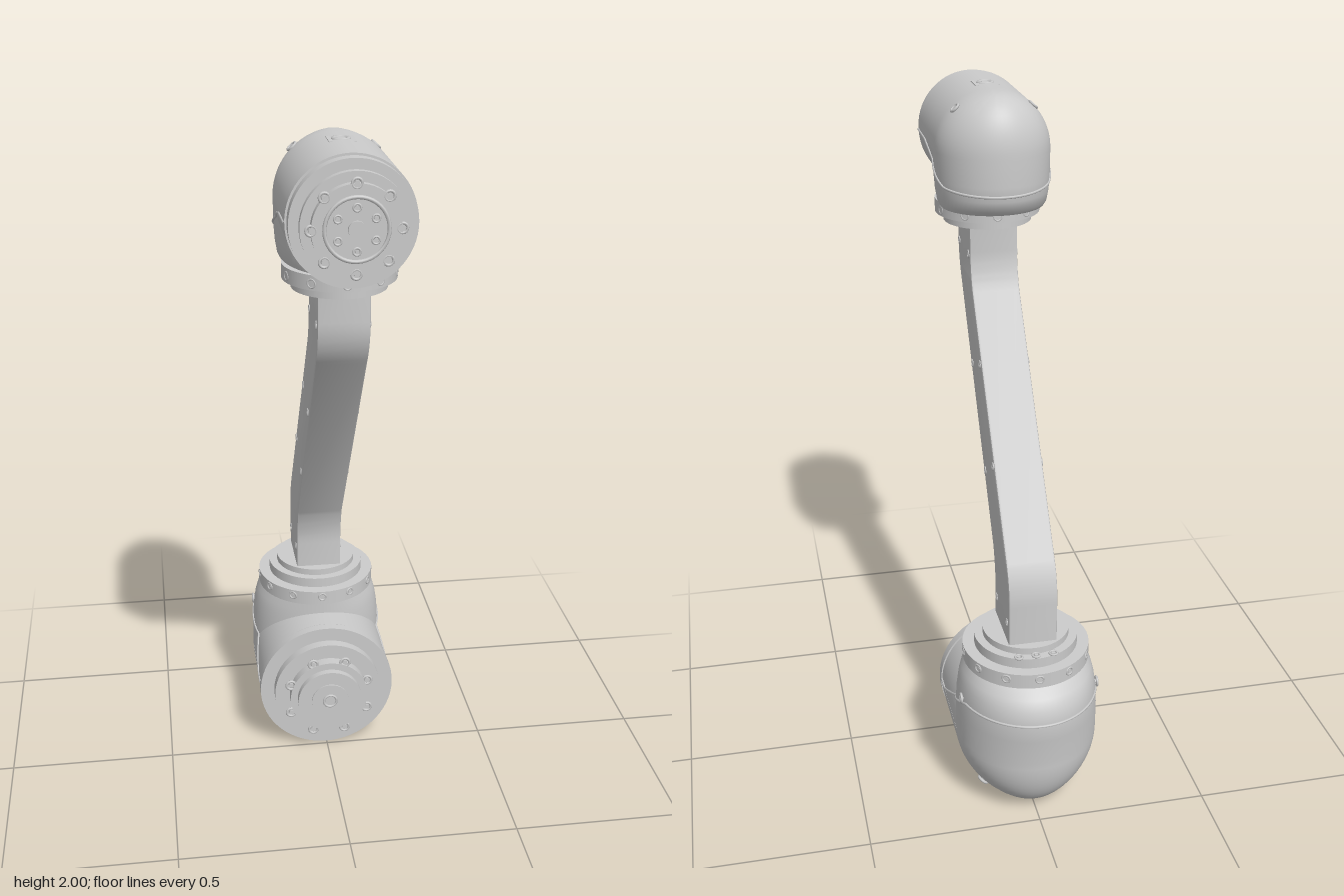
import * as THREE from 'three';
import { toCreasedNormals } from 'three/addons/utils/BufferGeometryUtils.js';

const mat = new THREE.MeshStandardMaterial({ color: 0xcccccc });

function add(parent, name, geo, x = 0, y = 0, z = 0) {
  const m = new THREE.Mesh(geo, mat);
  m.name = name;
  m.position.set(x, y, z);
  parent.add(m);
  return m;
}

// Cylinder along an axis, spanning a..b on it; u and v are the other two coordinates
function disc(parent, name, axis, r, a, b, u, v, seg = 48) {
  const geo = new THREE.CylinderGeometry(r, r, b - a, seg), c = (a + b) / 2;
  if (axis === 'z') return add(parent, name, geo.rotateX(Math.PI / 2), u, v, c);
  if (axis === 'x') return add(parent, name, geo.rotateZ(Math.PI / 2), c, u, v);
  return add(parent, name, geo, u, c, v);
}

// Screw head: a raised rim around a sunken socket, facing +z before placing
function screw(parent, r, x, y, z, dir) {
  const g = new THREE.Group();
  g.name = 'screw';
  add(g, 'screwRim', new THREE.TorusGeometry(r, r * 0.3, 6, 16));
  disc(g, 'screwSocket', 'z', r * 0.55, -r * 0.5, r * 0.15, 0, 0, 6);
  g.position.set(x, y, z);
  g.quaternion.setFromUnitVectors(new THREE.Vector3(0, 0, 1), dir.clone().normalize());
  parent.add(g);
}

const dirX = s => new THREE.Vector3(s, 0, 0), Z = new THREE.Vector3(0, 0, 1), Y = new THREE.Vector3(0, 1, 0);

// Piecewise linear lookup in rows [key, ...values] with rows in either order
function lookup(rows, k, col = 1) {
  for (let i = 0; i < rows.length - 1; i++) {
    const [a, b] = [rows[i], rows[i + 1]], t = (k - a[0]) / (b[0] - a[0]);
    if (t >= 0 && t <= 1) return a[col] + (b[col] - a[col]) * t;
  }
  const near = Math.abs(k - rows[0][0]) < Math.abs(k - rows.at(-1)[0]) ? rows[0] : rows.at(-1);
  return near[col];
}

// Closed surface through horizontal rings, listed from bottom to top
function loft(rings) {
  const N = 64, pos = [], idx = [];
  for (const { y, w, zc, back, front, flat } of rings) {
    for (let j = 0; j < N; j++) {
      const a = (j / N) * 2 * Math.PI;
      let c = Math.cos(a), s = Math.sin(a);
      if (flat && j > N / 2) {
        const m = Math.max(Math.abs(c), Math.abs(s));
        c /= m; s /= m;
      }
      pos.push(w * c, y, zc - s * (s > 0 ? back : front));
    }
  }
  for (let i = 0; i < rings.length - 1; i++)
    for (let j = 0; j < N; j++) {
      const k = (j + 1) % N, a = i * N, b = a + N;
      idx.push(a + j, a + k, b + k, a + j, b + k, b + j);
    }
  const top = (rings.length - 1) * N;
  for (let j = 1; j < N - 1; j++) idx.push(0, j + 1, j, top, top + j, top + j + 1);
  const g = new THREE.BufferGeometry();
  g.setAttribute('position', new THREE.Float32BufferAttribute(pos, 3));
  g.setIndex(idx);
  return toCreasedNormals(g, 0.6);
}

// Elbow housing: horizontal barrel, domed back and a vertical neck (up = 1 or -1)
function housing(parent, { cy, r, zc, depth, zf, up, neck, neckFront, seam }) {
  const rings = [];
  for (let i = 0; i <= 16; i++) {
    const t = 0.03 + (Math.PI / 2 - 0.03) * (i / 16);
    rings.push({ y: cy - up * r * Math.cos(t), w: r * Math.sin(t), zc,
      back: depth * Math.sin(t) ** 0.58, front: zf - zc, flat: true });
  }
  for (const [y, w, back] of neck) rings.push({ y, w, zc, back: zc - back, front: neckFront });
  if (up < 0) rings.reverse();
  add(parent, 'housingShell', loft(rings));
  disc(parent, 'housingBarrel', 'z', r * 0.998, zc, zf, 0, cy, 64);

  // Raised parting line between the two covers
  const side = [], S = 24;
  for (let i = 0; i <= S; i++) {
    const z = zf + (zc - zf) * (i / S), y = lookup(seam, z), w = lookup(neck, y);
    const barrel = Math.sqrt(Math.max(0, r * r - (y - cy) ** 2));
    const e = w * Math.sqrt(Math.max(0, 1 - ((z - zc) / neckFront) ** 2));
    side.push(new THREE.Vector3(Math.max(barrel, e), y, z));
  }
  for (let i = 1; i <= S; i++) {
    const a = (i / S) * Math.PI / 2;
    const y = lookup(seam, zc - depth * Math.sin(a));
    const d = zc - lookup(neck, y, 2);
    side.push(new THREE.Vector3(lookup(neck, y) * Math.cos(a), y, zc - d * Math.sin(a)));
  }
  const other = side.slice(0, -1).reverse().map(p => new THREE.Vector3(-p.x, p.y, p.z));
  const path = new THREE.CatmullRomCurve3([...side, ...other]);
  add(parent, 'coverSeam', new THREE.TubeGeometry(path, 120, 0.004, 6));
}

// Round flange with screws around its rim
function boltRing(parent, n, radius, r, cy, z, phase) {
  for (let i = 0; i < n; i++) {
    const a = ((i + phase) / n) * Math.PI * 2;
    screw(parent, r, radius * Math.cos(a), cy + radius * Math.sin(a), z, Z);
  }
}
function neckFlange(parent, cz, y, r, n) {
  for (let i = 0; i < n; i++) {
    const a = (i / n) * Math.PI * 2, d = new THREE.Vector3(Math.sin(a), 0, Math.cos(a));
    screw(parent, 0.011, d.x * r, y, cz + d.z * r, d);
  }
}

export function createModel() {
  const root = new THREE.Group();
  const group = name => {
    const g = new THREE.Group();
    g.name = name;
    root.add(g);
    return g;
  };

  // Lower joint
  const low = group('lowerJoint'), lc = 0.213;
  housing(low, { cy: lc, r: 0.209, zc: -0.3, depth: 0.21, zf: -0.045, up: 1, neckFront: 0.185,
    neck: [[lc, 0.209, -0.51], [0.3, 0.208, -0.524], [0.36, 0.204, -0.53], [0.4, 0.198, -0.523],
      [0.43, 0.19, -0.505], [0.46, 0.175, -0.465]],
    seam: [[-0.02, 0.22], [-0.1, 0.22], [-0.37, 0.355], [-0.53, 0.36]] });
  disc(low, 'frontRim', 'z', 0.211, -0.04, -0.012, 0, lc, 64);
  disc(low, 'matingPlate', 'z', 0.168, -0.012, 0.018, 0, lc);
  disc(low, 'matingHub', 'z', 0.122, 0.018, 0.05, 0, lc);
  disc(low, 'matingBoss', 'z', 0.1, 0.05, 0.07, 0, lc);
  disc(low, 'centrePin', 'z', 0.058, 0.07, 0.074, 0, lc, 32);
  add(low, 'centreRing', new THREE.TorusGeometry(0.02, 0.004, 6, 24), 0, lc, 0.074);
  boltRing(low, 8, 0.13, 0.014, lc, 0.046, 0.5);
  disc(low, 'neckFlange', 'y', 0.184, 0.455, 0.5, 0, -0.295);
  disc(low, 'neckCollar', 'y', 0.15, 0.5, 0.53, 0, -0.295);
  neckFlange(low, -0.295, 0.482, 0.183, 12);
  for (const s of [-1, 1]) {
    screw(low, 0.015, s * 0.14, 0.055, -0.35, new THREE.Vector3(s * 0.65, -0.75, -0.1));
    screw(low, 0.013, s * 0.203, 0.36, -0.35, dirX(s));
  }

  // Cranked square arm, extruded across x from its side outline
  const arm = group('arm');
  const o = new THREE.Shape();
  o.moveTo(-0.2, 0.51);
  o.lineTo(-0.2, 0.63);
  o.quadraticCurveTo(-0.2, 0.69, -0.17, 0.755);
  o.lineTo(0.28, 1.41);
  o.quadraticCurveTo(0.328, 1.47, 0.328, 1.54);
  o.lineTo(0.328, 1.64);
  o.lineTo(0.142, 1.64);
  o.lineTo(0.142, 1.54);
  o.quadraticCurveTo(0.14, 1.48, 0.11, 1.43);
  o.lineTo(-0.355, 0.79);
  o.quadraticCurveTo(-0.392, 0.74, -0.392, 0.67);
  o.lineTo(-0.392, 0.51);
  const beam = new THREE.ExtrudeGeometry(o, { depth: 0.128, bevelEnabled: true, bevelThickness: 0.006,
    bevelSize: 0.006, bevelOffset: -0.006, bevelSegments: 2, curveSegments: 10 });
  beam.translate(0, 0, -0.064).rotateY(-Math.PI / 2);
  add(arm, 'armBeam', toCreasedNormals(beam, 0.5));
  const armScrews = [[0.305, 1.53], [0.165, 1.53], [0.005, 1.25], [0.115, 1.21],
    [-0.175, 1.01], [-0.065, 0.945], [-0.225, 0.61], [-0.365, 0.61]];
  for (const s of [-1, 1]) for (const [z, y] of armScrews) screw(arm, 0.01, s * 0.07, y, z, dirX(s));
  disc(arm, 'armFoot', 'y', 0.125, 0.53, 0.55, 0, -0.295);
  for (const x of [-0.05, 0, 0.05]) screw(arm, 0.011, x, 0.533, -0.43, Y);

  // Upper joint
  const head = group('upperJoint'), hc = 1.836;
  housing(head, { cy: hc, r: 0.164, zc: 0.165, depth: 0.165, zf: 0.44, up: -1, neckFront: 0.22,
    neck: [[hc, 0.164, 0], [1.76, 0.163, -0.002], [1.72, 0.16, 0], [1.69, 0.155, 0.012], [1.676, 0.148, 0.03]],
    seam: [[0.48, hc], [0.32, 1.832], [0.25, 1.815], [0.1, 1.745], [0, 1.735]] });
  disc(head, 'frontRim', 'z', 0.159, 0.444, 0.475, 0, hc, 64);
  disc(head, 'rimGap', 'z', 0.155, 0.43, 0.446, 0, hc, 64);
  disc(head, 'matingShaft', 'z', 0.1, 0.47, 0.49, 0, hc);
  disc(head, 'matingPlate', 'z', 0.135, 0.487, 0.505, 0, hc);
  disc(head, 'matingCap', 'z', 0.11, 0.505, 0.525, 0, hc);
  add(head, 'capRing', new THREE.TorusGeometry(0.078, 0.005, 6, 40), 0, hc, 0.525);
  disc(head, 'centrePin', 'z', 0.022, 0.525, 0.532, 0, hc, 24);
  boltRing(head, 8, 0.11, 0.012, hc, 0.522, 0);
  boltRing(head, 6, 0.053, 0.009, hc, 0.526, 0.5);
  disc(head, 'neckFlange', 'y', 0.152, 1.64, 1.68, 0, 0.235);
  disc(head, 'neckCollar', 'y', 0.128, 1.615, 1.64, 0, 0.235);
  neckFlange(head, 0.235, 1.658, 0.15, 10);
  for (const s of [-1, 1]) screw(head, 0.013, s * 0.11, 1.957, 0.13, new THREE.Vector3(s * 0.67, 0.74, 0));

  // Small square pad with a socket on the head
  add(head, 'topPad', new THREE.BoxGeometry(0.07, 0.012, 0.075), 0, 1.992, 0.255);
  screw(head, 0.02, 0, 1.997, 0.255, Y);

  return root;
}
